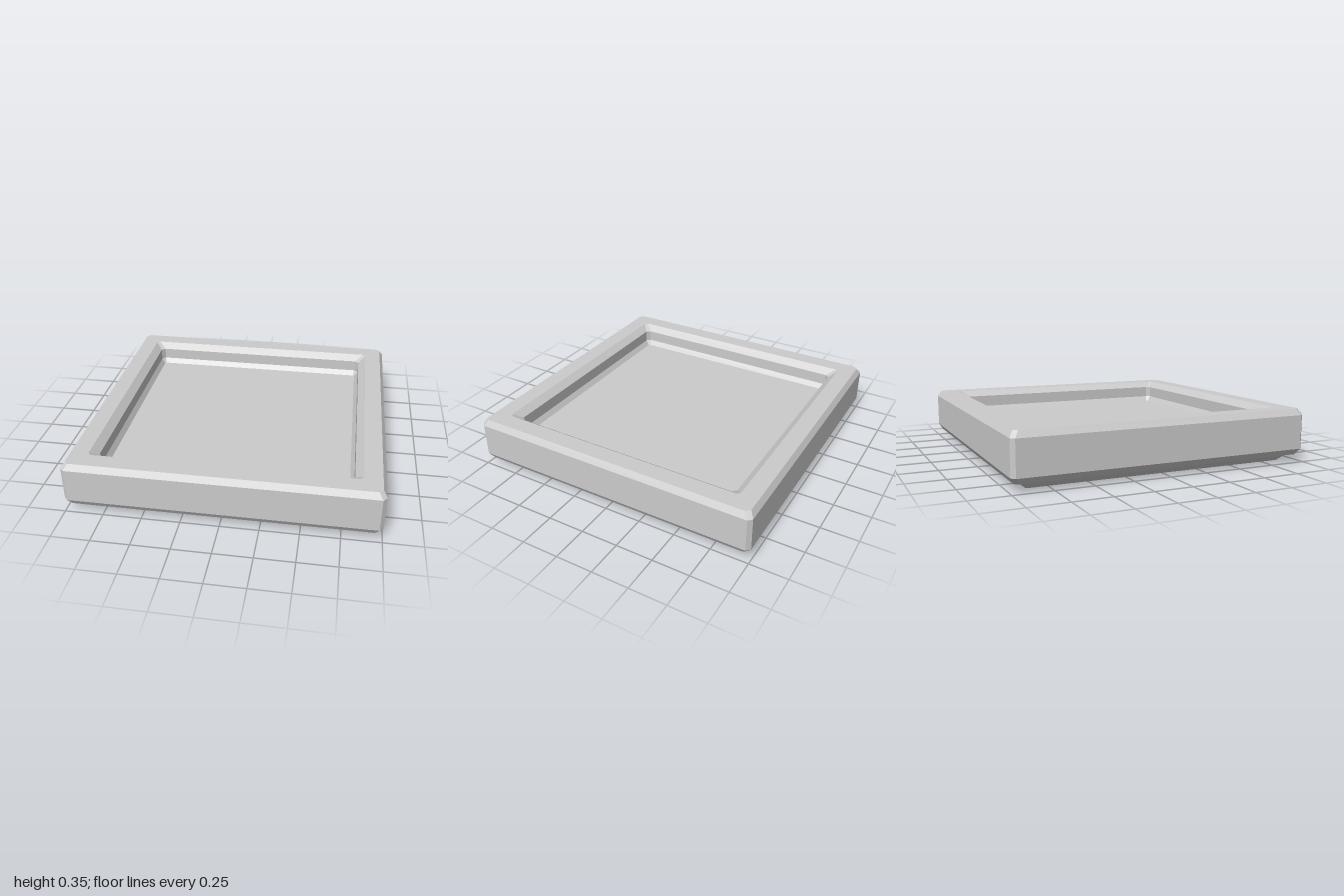
import * as THREE from 'three';

// Square ring with clipped corners, counter-clockwise seen from above
function section([half, y, cut]) {
  const a = half, b = half - cut;
  return [[a, b], [b, a], [-b, a], [-a, b], [-a, -b], [-b, -a], [b, -a], [a, -b]]
    .map(([x, z]) => new THREE.Vector3(x, y, z));
}

// Joins successive sections with flat facets; optionally caps the first or last
function loft(name, profile, material, capFirst, capLast) {
  const rings = profile.map(section);
  const pts = [];
  const tri = (a, b, c) => pts.push(...a.toArray(), ...b.toArray(), ...c.toArray());
  for (let i = 0; i < rings.length - 1; i++) {
    const lo = rings[i], hi = rings[i + 1];
    for (let j = 0; j < 8; j++) {
      const k = (j + 1) % 8;
      tri(lo[j], hi[j], hi[k]);
      tri(lo[j], hi[k], lo[k]);
    }
  }
  const first = rings[0], last = rings[rings.length - 1];
  for (let j = 1; j < 7; j++) {
    if (capFirst) tri(first[0], first[j], first[j + 1]);
    if (capLast) tri(last[0], last[j + 1], last[j]);
  }
  const geometry = new THREE.BufferGeometry();
  geometry.setAttribute('position', new THREE.Float32BufferAttribute(pts, 3));
  geometry.computeVertexNormals();
  const mesh = new THREE.Mesh(geometry, material);
  mesh.name = name;
  return mesh;
}

export function createModel() {
  const group = new THREE.Group();
  group.name = 'squareTray';
  const material = new THREE.MeshStandardMaterial({ color: 0xcccccc, flatShading: true });

  // Each profile row is [half width, height, corner cut]

  // Bevelled foot under the tray
  group.add(loft('base', [[0.885, 0, 0.01], [0.93, 0.05, 0.01]], material, true, false));

  // Raised rim: underside, outer wall, top, then down the inner wall
  group.add(loft('rim', [
    [0.93, 0.05, 0.01],
    [0.975, 0.05, 0.025],
    [1, 0.09, 0.025],
    [1, 0.315, 0.025],
    [0.975, 0.355, 0.025],
    [0.86, 0.355, 0.02],
    [0.81, 0.315, 0.025],
    [0.81, 0.235, 0.025],
    [0.785, 0.2, 0.01],
  ], material, false, false));

  // Recessed floor
  group.add(loft('floor', [[0.785, 0.2, 0.01], [0.78, 0.2, 0.01]], material, false, true));

  return group;
}
